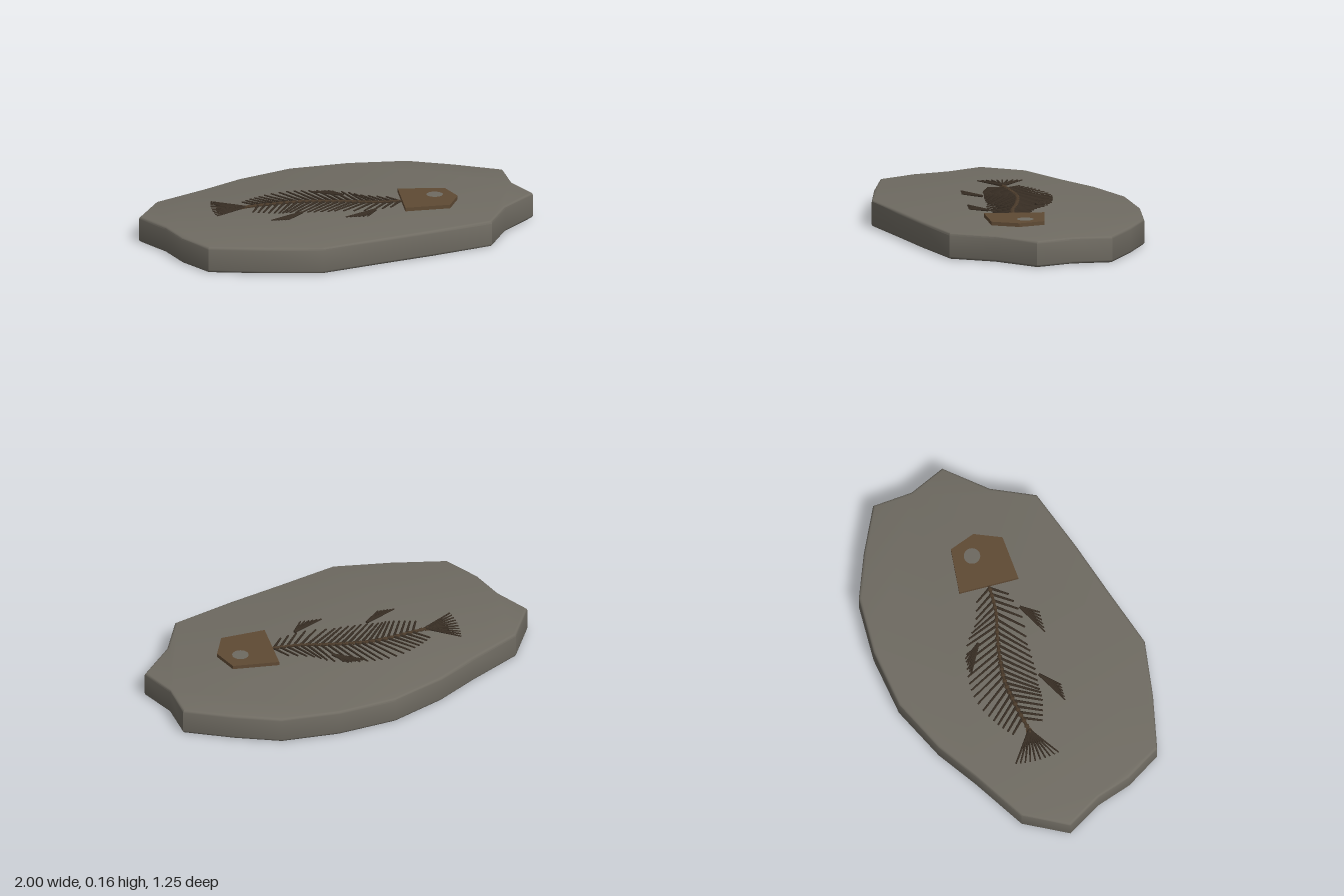
import * as THREE from 'three';
import { toCreasedNormals, mergeGeometries } from 'three/addons/utils/BufferGeometryUtils.js';

const material = (name, color) => {
  const m = new THREE.MeshStandardMaterial({ color });
  m.name = name;
  return m;
};

// Flat outline given as [x, z] pairs, ready to extrude upward
const outline = (points) => new THREE.Shape(points.map(([x, z]) => new THREE.Vector2(x, -z)));

// Extrude an outline between two heights with an inward bevel
function plate(shape, bottom, top, bevel, segments) {
  const g = new THREE.ExtrudeGeometry(shape, {
    depth: top - bottom - 2 * bevel, bevelEnabled: bevel > 0, bevelThickness: bevel,
    bevelSize: bevel, bevelOffset: -bevel, bevelSegments: segments, curveSegments: 24,
  });
  return g.rotateX(-Math.PI / 2).translate(0, bottom + bevel, 0);
}

// Tapered bone between two points
function spike(a, b, r0, r1) {
  const dir = b.clone().sub(a);
  const g = new THREE.CylinderGeometry(r1, r0, dir.length(), 6);
  g.applyQuaternion(new THREE.Quaternion().setFromUnitVectors(new THREE.Vector3(0, 1, 0), dir.clone().normalize()));
  const mid = a.clone().add(b).multiplyScalar(0.5);
  return g.translate(mid.x, mid.y, mid.z);
}

// Fan of rays from one apex to a row of tips
function fan(apex, first, last, count, bulge) {
  const a = new THREE.Vector3(apex[0], 0.141, apex[1]);
  const rays = [];
  for (let i = 0; i < count; i++) {
    const t = i / (count - 1);
    const tip = new THREE.Vector3(
      THREE.MathUtils.lerp(first[0], last[0], t), 0.137,
      THREE.MathUtils.lerp(first[1], last[1], t));
    const reach = 1 + bulge * Math.sin(Math.PI * t);
    tip.x = a.x + (tip.x - a.x) * reach;
    tip.z = a.z + (tip.z - a.z) * reach;
    rays.push(spike(a, tip, 0.007, 0.004));
  }
  return mergeGeometries(rays);
}

export function createModel() {
  const group = new THREE.Group();
  const stone = material('stone grey', 0x6f6b62);
  const skullBrown = material('skull brown', 0x5f4a34);
  const spineBrown = material('spine brown', 0x4a3a2a);
  const boneDark = material('dark bone', 0x382e24);
  const add = (name, geometry, mat) => {
    const mesh = new THREE.Mesh(geometry, mat);
    mesh.name = name;
    group.add(mesh);
  };

  // Stone slab with a softly rounded rim
  const rim = [
    [-1, -0.2], [-0.83, -0.39], [-0.53, -0.485], [-0.3, -0.57], [0, -0.63], [0.31, -0.6],
    [0.6, -0.52], [0.8, -0.375], [1, -0.205], [0.965, 0], [1, 0.2], [0.785, 0.355],
    [0.635, 0.545], [0.3, 0.58], [0, 0.6], [-0.325, 0.625], [-0.6, 0.515], [-0.86, 0.39],
    [-0.925, 0.19], [-0.94, 0],
  ];
  add('stoneSlab', toCreasedNormals(plate(outline(rim), 0, 0.136, 0.014, 3), 0.55), stone);

  // Skull plate with an eye hole
  const skull = outline([[0.365, -0.065], [0.59, 0.015], [0.605, 0.155], [0.515, 0.275], [0.285, 0.235]]);
  const eye = new THREE.Path();
  eye.absarc(0.505, -0.09, 0.042, 0, Math.PI * 2, true);
  skull.holes.push(eye);
  add('skull', plate(skull, 0.13, 0.155, 0, 1), skullBrown);

  // Curved spine with a row of vertebrae
  const spine = new THREE.CatmullRomCurve3([
    [-0.46, -0.127], [-0.29, -0.117], [-0.155, -0.1], [-0.025, -0.055],
    [0.085, -0.005], [0.19, 0.048], [0.34, 0.09],
  ].map(([x, z]) => new THREE.Vector3(x, 0.139, z)));
  add('spine', new THREE.TubeGeometry(spine, 40, 0.008, 6), spineBrown);
  const beads = [];
  for (let i = 0; i < 26; i++) {
    const p = spine.getPointAt(i / 25);
    beads.push(new THREE.SphereGeometry(0.013, 8, 6).scale(1, 0.7, 1).translate(p.x, p.y, p.z));
  }
  add('vertebrae', mergeGeometries(beads), spineBrown);

  // Paired ribs sweeping back toward the tail
  const up = new THREE.Vector3(0, 1, 0);
  for (const side of [1, -1]) {
    const ribs = [];
    for (let i = 0; i < 22; i++) {
      const t = 0.1 + 0.87 * i / 21;
      const base = spine.getPointAt(t);
      const length = 0.05 + 0.16 * Math.sin(Math.PI * Math.min(1, 0.9 * t + 0.02));
      const tip = spine.getTangentAt(t).negate().applyAxisAngle(up, side * 0.97)
        .multiplyScalar(length).add(base);
      tip.y = 0.137;
      ribs.push(spike(base, tip, 0.007, 0.005));
    }
    add(side > 0 ? 'lowerRibs' : 'upperRibs', mergeGeometries(ribs), boneDark);
  }

  // Tail and fins as fans of thin rays
  add('tailRoot', plate(outline([[-0.44, -0.115], [-0.44, -0.14], [-0.51, -0.165], [-0.525, -0.1]]), 0.133, 0.14, 0, 1), spineBrown);
  add('tailFin', fan([-0.45, -0.125], [-0.63, -0.055], [-0.575, -0.275], 10, 0.08), boneDark);
  add('rearFin', fan([-0.215, 0.067], [-0.4, 0.115], [-0.32, 0.138], 6, 0), boneDark);
  add('bellyFin', fan([0.15, 0.165], [-0.03, 0.21], [0.075, 0.24], 6, 0), boneDark);
  add('backFin', fan([0.085, -0.115], [-0.045, -0.235], [0.045, -0.215], 6, 0), boneDark);

  return group;
}
